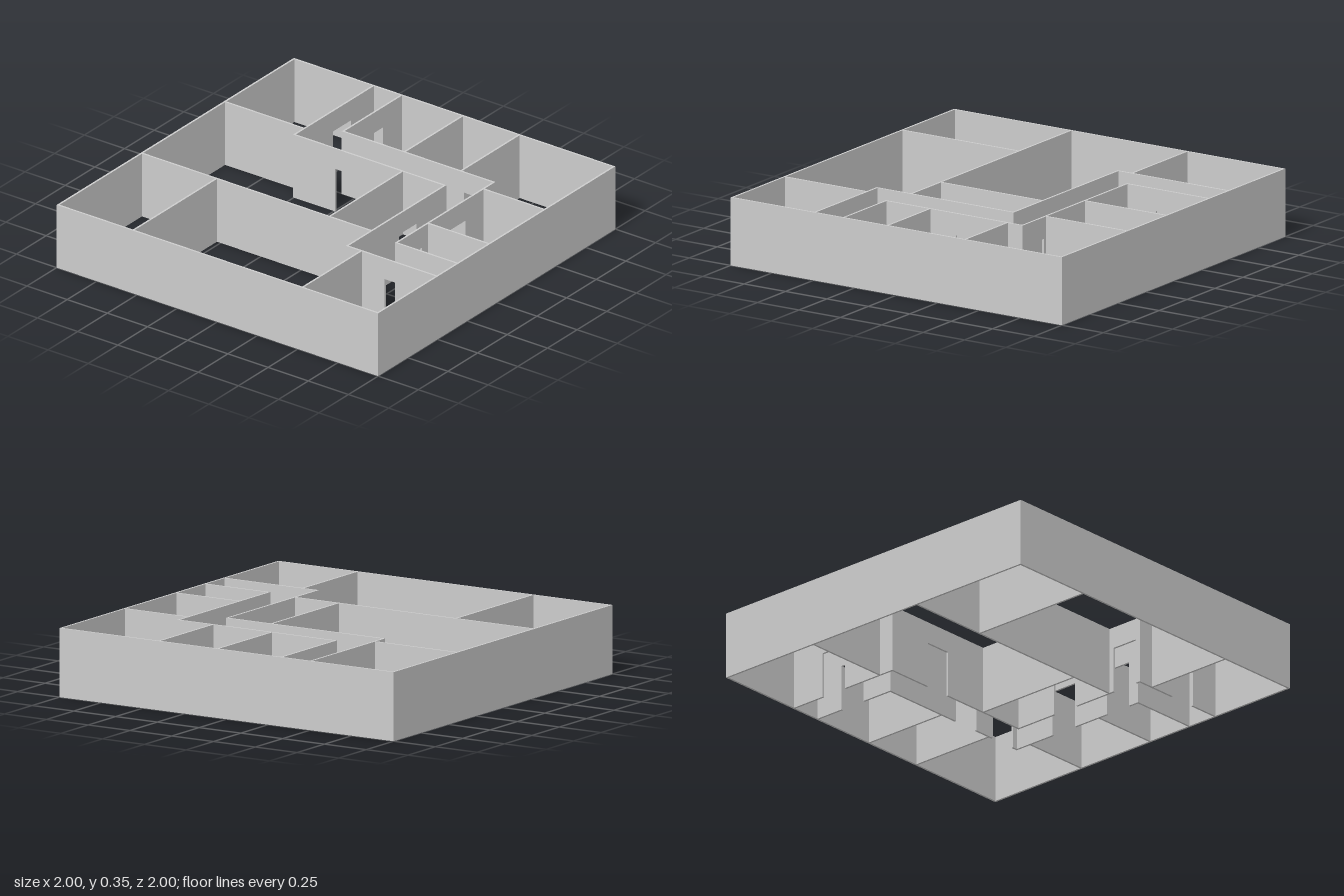
import * as THREE from 'three';

const H = 0.353, T = 0.011, DOOR_H = 0.24, DOOR_W = 0.15, E = 1 - T / 2;
const material = new THREE.MeshStandardMaterial({ color: 0xcccccc, flatShading: true });

// Wall running along 'x' or 'z' at a fixed offset; doors lists doorway centres
function wall(name, axis, at, from, to, doors = []) {
  const a = from - T / 2, b = to + T / 2;
  const s = new THREE.Shape();
  s.moveTo(a, H);
  s.lineTo(a, 0);
  for (const d of doors) {
    s.lineTo(d - DOOR_W / 2, 0);
    s.lineTo(d - DOOR_W / 2, DOOR_H);
    s.lineTo(d + DOOR_W / 2, DOOR_H);
    s.lineTo(d + DOOR_W / 2, 0);
  }
  s.lineTo(b, 0);
  s.lineTo(b, H);
  s.closePath();
  const g = new THREE.ExtrudeGeometry(s, { depth: T, bevelEnabled: false });
  g.translate(0, 0, -T / 2);
  if (axis === 'z') g.rotateY(-Math.PI / 2);
  const mesh = new THREE.Mesh(g, material);
  mesh.name = name;
  if (axis === 'z') mesh.position.x = at;
  else mesh.position.z = at;
  return mesh;
}

export function createModel() {
  const model = new THREE.Group();
  model.name = 'floorPlan';

  // Outer shell
  const outer = new THREE.Group();
  outer.name = 'outerWalls';
  outer.add(
    wall('frontWall', 'x', E, -E, E),
    wall('backWall', 'x', -E, -E, E),
    wall('leftWall', 'z', E, -E, E),
    wall('rightWall', 'z', -E, -E, E),
  );

  // Walls lining the corridor, with doorways
  const corridor = new THREE.Group();
  corridor.name = 'corridorWalls';
  corridor.add(
    wall('backRightCorridorWall', 'z', -0.5, -E, -0.327, [-0.72]),
    wall('backRoomSideWall', 'z', -0.325, -E, -0.501, [-0.753]),
    wall('backRoomsWall', 'x', -0.501, -0.325, 0.613, [0.232, 0.505]),
    wall('centreRoomsBackWall', 'x', -0.327, -0.5, 0.436, [-0.167]),
    wall('centreRoomsSideWall', 'z', 0.436, -0.327, 0.496, [-0.007, 0.397]),
    wall('leftRoomsWall', 'z', 0.613, -0.501, 0.322, [-0.177, 0.19]),
    wall('leftRoomsFrontWall', 'x', 0.322, 0.613, E),
    wall('frontLeftRoomWall', 'x', 0.496, 0.436, E, [0.748]),
  );

  // Partitions between rooms
  const partitions = new THREE.Group();
  partitions.name = 'roomPartitions';
  partitions.add(
    wall('backRightPartition', 'x', -0.411, -E, -0.5),
    wall('backPartitionA', 'z', 0.056, -E, -0.501),
    wall('backPartitionB', 'z', 0.407, -E, -0.501),
    wall('leftPartitionA', 'x', -0.411, 0.613, E),
    wall('leftPartitionB', 'x', 0.056, 0.613, E),
    wall('centrePartition', 'z', 0.173, -0.327, 0.29),
    wall('frontRoomsWall', 'x', 0.29, -E, 0.436),
    wall('frontPartitionA', 'z', -0.528, 0.29, E),
    wall('frontPartitionB', 'z', 0.525, 0.496, E),
  );

  model.add(outer, corridor, partitions);
  return model;
}
